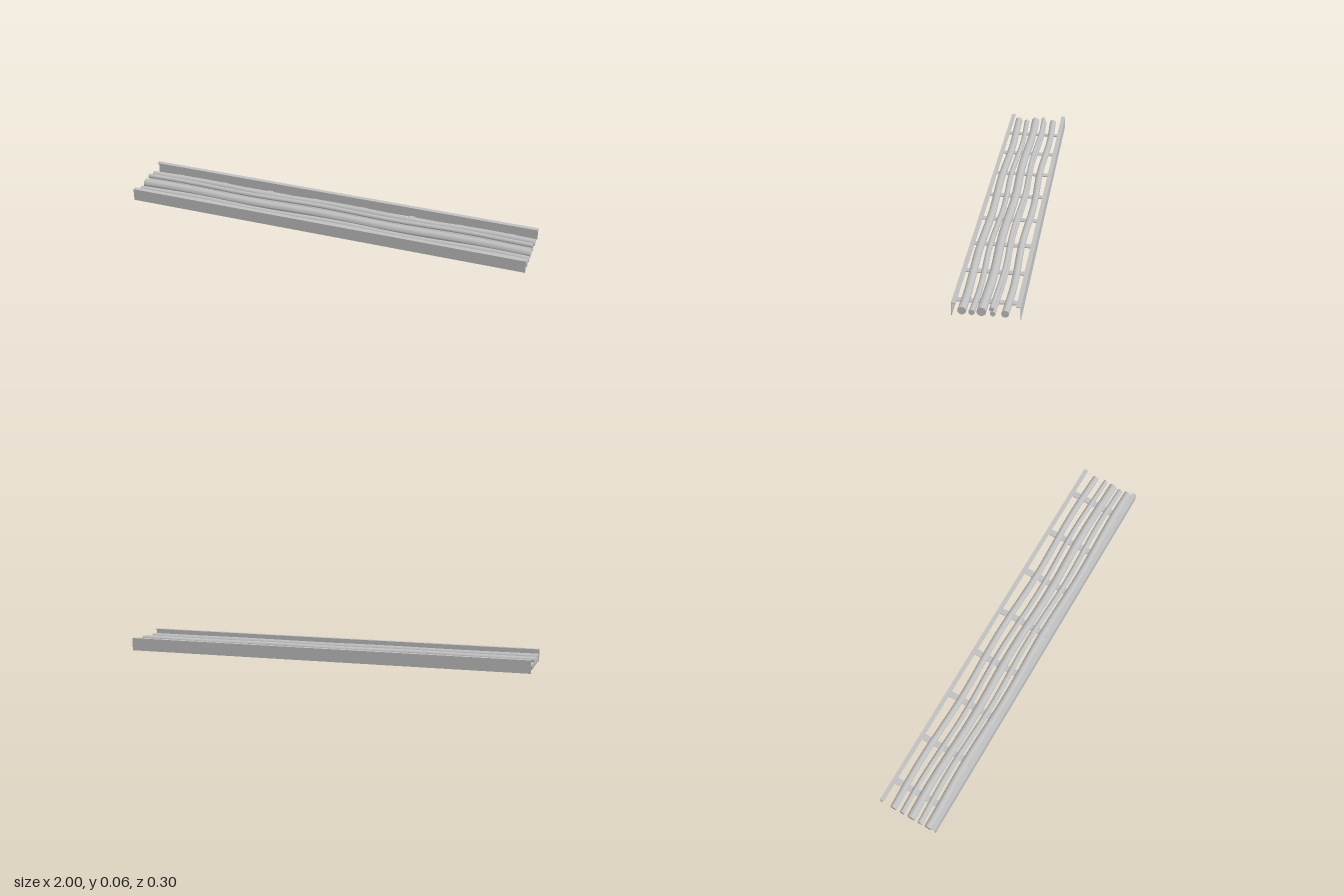
import * as THREE from 'three';

export function createModel() {
  const model = new THREE.Group();
  model.name = 'cableTray';
  const grey = new THREE.MeshStandardMaterial({ color: 0xc0c0c0 });
  grey.name = 'galvanised grey';

  const add = (geometry, name) => {
    const mesh = new THREE.Mesh(geometry, grey);
    mesh.name = name;
    model.add(mesh);
    return mesh;
  };

  // Side rails: thin wall with a lip folded inwards at the top
  const W = 0.15, H = 0.0625, T = 0.003, LIP = 0.021;
  const profile = new THREE.Shape([
    [W - T, 0], [W, 0], [W, H], [W - LIP, H], [W - LIP, H - T], [W - T, H - T],
  ].map(([z, y]) => new THREE.Vector2(z, y)));
  const rail = new THREE.ExtrudeGeometry(profile, { depth: 2, bevelEnabled: false });
  rail.translate(0, 0, -1);
  rail.rotateY(-Math.PI / 2);
  add(rail, 'frontRail');
  add(rail, 'backRail').rotation.y = Math.PI;

  // Rungs across the bottom
  const rung = new THREE.BoxGeometry(0.03, 0.005, 2 * (W - T));
  for (let i = 0; i < 8; i++) {
    add(rung, 'rung' + (i + 1)).position.set(-0.875 + 0.25 * i, 0.0025, 0);
  }

  // Cables: capped cylinders lying along x, swayed sideways in a gentle wave
  const WAVE = 2 * Math.PI / 0.75;
  const addCable = (name, z, y, radius, sway, crest) => {
    const geometry = new THREE.CylinderGeometry(radius, radius, 2, 14, 72);
    geometry.rotateZ(Math.PI / 2);
    const p = geometry.attributes.position;
    for (let i = 0; i < p.count; i++) {
      p.setZ(i, p.getZ(i) - sway * Math.cos(WAVE * (p.getX(i) - crest)));
    }
    geometry.computeVertexNormals();
    add(geometry, name).position.set(0, y, z);
  };
  addCable('frontThickCable', 0.106, 0.026, 0.019, 0.004, 0.86);
  addCable('frontThinCable', 0.061, 0.0205, 0.0135, 0.0055, 0.79);
  addCable('middleThickCable', 0.0165, 0.027, 0.021, 0.0045, 0.7);
  addCable('upperThinCable', -0.0285, 0.042, 0.0108, 0.005, 0.68);
  addCable('lowerThinCable', -0.0335, 0.0195, 0.012, 0.0055, 0.68);
  addCable('backCable', -0.084, 0.0228, 0.0168, 0.005, 0.76);

  return model;
}
